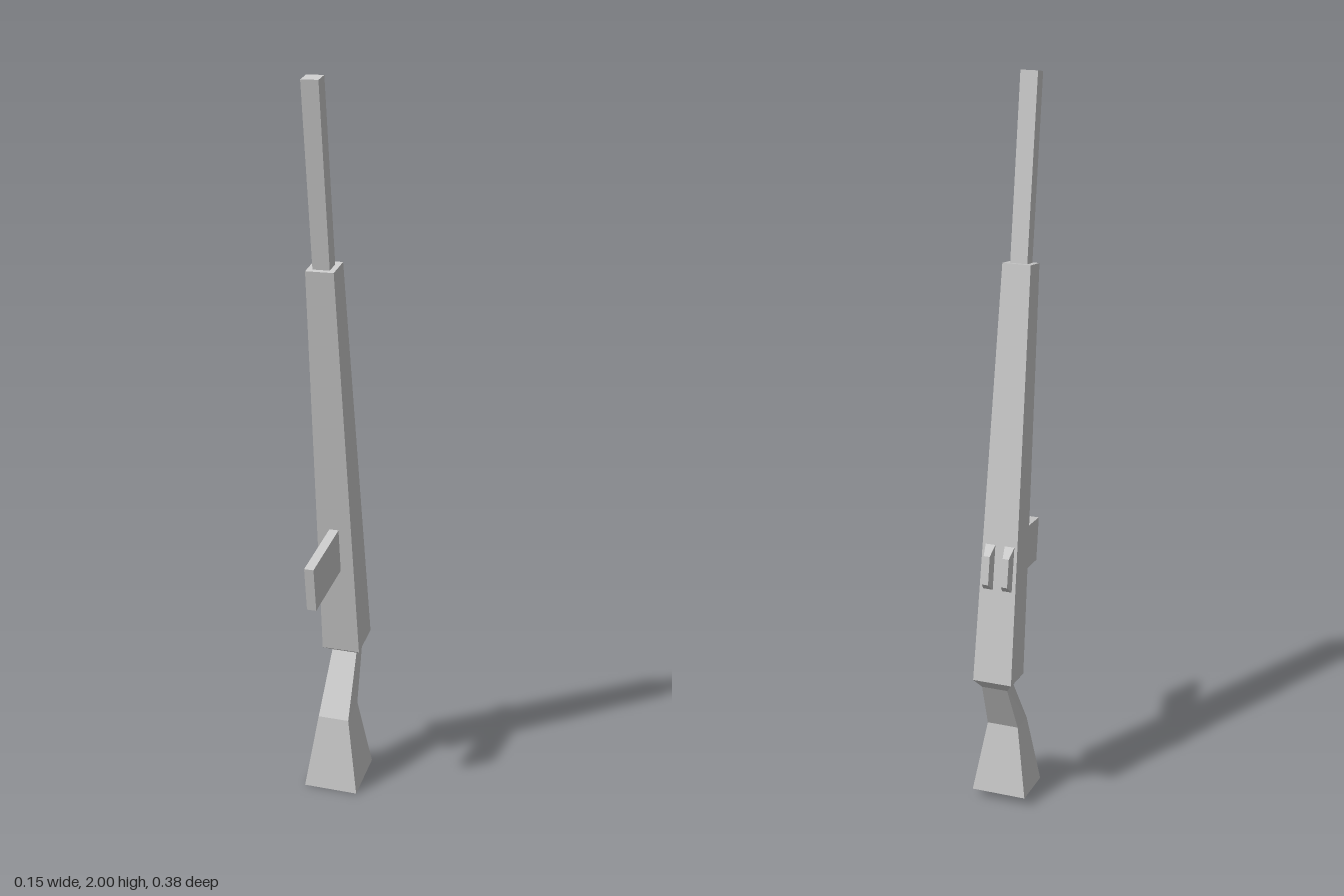
import * as THREE from 'three';

const material = new THREE.MeshStandardMaterial({ color: 0xcccccc, flatShading: true });

// Lofts a closed four-sided bar through sections of [z1, y1, z2, y2, halfWidth],
// each joining two side-profile points across the width.
function loft(name, sections, x = 0) {
  const points = [], index = [];
  for (const [z1, y1, z2, y2, w] of sections) {
    points.push(w, y1, z1, -w, y1, z1, -w, y2, z2, w, y2, z2);
  }
  const quad = (a, b, c, d) => index.push(a, b, c, a, c, d);
  const last = (sections.length - 1) * 4;
  for (let s = 0; s < last; s += 4) {
    for (let i = 0; i < 4; i++) {
      const j = (i + 1) % 4;
      quad(s + j, s + 4 + j, s + 4 + i, s + i);
    }
  }
  quad(3, 2, 1, 0);
  quad(last, last + 1, last + 2, last + 3);
  const indexed = new THREE.BufferGeometry();
  indexed.setAttribute('position', new THREE.Float32BufferAttribute(points, 3));
  indexed.setIndex(index);
  const geometry = indexed.toNonIndexed();
  geometry.computeVertexNormals();
  const mesh = new THREE.Mesh(geometry, material);
  mesh.name = name;
  mesh.position.x = x;
  return mesh;
}

export function createModel() {
  const model = new THREE.Group();
  model.name = 'rifle';

  // Slim square barrel
  model.add(loft('barrel', [
    [0.168, 1.992, 0.125, 2.0, 0.023],
    [0.082, 1.5, 0.039, 1.508, 0.023],
  ]));

  // Tapered body with a bevelled lower end
  model.add(loft('body', [
    [0.099, 1.516, 0.024, 1.53, 0.038],
    [-0.078, 0.397, -0.187, 0.418, 0.054],
    [-0.112, 0.378, -0.166, 0.388, 0.036],
  ]));

  // Bent grip flaring into the shoulder stock
  model.add(loft('stock', [
    [-0.112, 0.379, -0.166, 0.389, 0.036],
    [-0.013, 0.212, -0.097, 0.231, 0.044],
    [0.013, 0, -0.137, 0.028, 0.077],
  ]));

  // Flat magazine projecting forward
  model.add(loft('magazine', [
    [-0.03, 0.785, -0.05, 0.659, 0.013],
    [0.189, 0.747, 0.168, 0.623, 0.013],
  ]));

  // Pair of bevelled lugs on the rear face
  for (const side of [-1, 1]) {
    model.add(loft(side > 0 ? 'leftRearLug' : 'rightRearLug', [
      [-0.135, 0.673, -0.112, 0.8, 0.014],
      [-0.162, 0.7, -0.147, 0.777, 0.0085],
    ], side * 0.0265));
  }
  return model;
}
